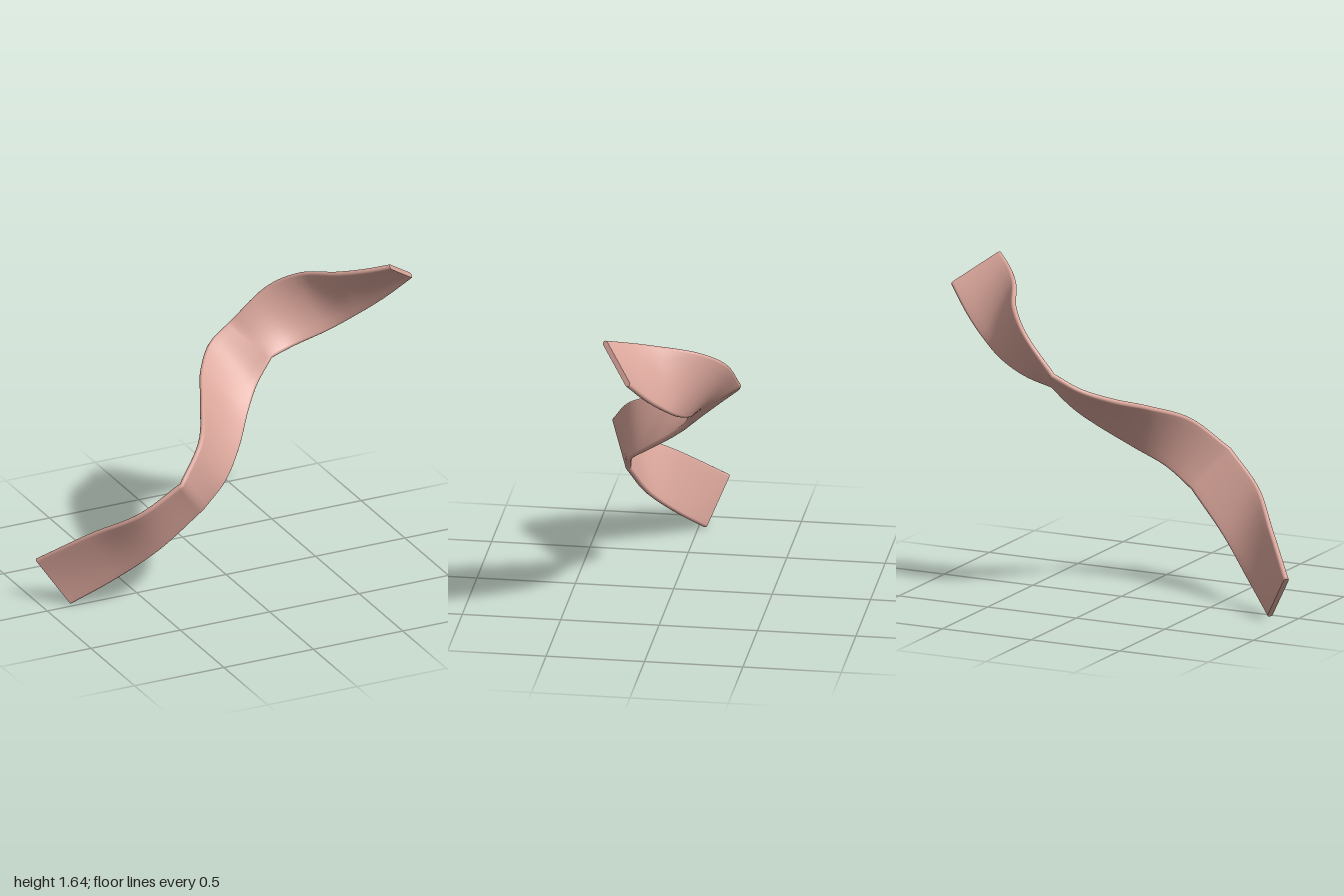
import * as THREE from 'three';

// Matching points on the two rims of the ribbon, one list per wave
const waves = [
  { upper: [[-1, .24, -.13], [-.8, .43, .09], [-.62, .585, .29], [-.43, .742, .365]],
    lower: [[-.85, .005, -.03], [-.67, .15, .09], [-.48, .32, .2], [-.26, .53, .265]] },
  { upper: [[-.43, .742, .365], [-.27, .9, .25], [-.15, 1, .02], [-.05, 1.07, -.19], [.07, 1.14, -.33], [.2, 1.21, -.37]],
    lower: [[-.26, .53, .265], [-.13, .64, .24], [0, .75, .135], [.13, .885, -.01], [.22, .98, -.09], [.32, 1.088, -.13]] },
  { upper: [[.2, 1.21, -.37], [.38, 1.39, -.32], [.5, 1.49, -.2], [.61, 1.56, .02], [.7, 1.603, .14], [.8, 1.645, .235]],
    lower: [[.32, 1.088, -.13], [.46, 1.125, -.14], [.62, 1.187, -.105], [.76, 1.275, -.05], [.88, 1.37, .01], [1, 1.49, .08]] },
];
const HALF = 0.014;  // half the ribbon's thickness
const STEPS = 36;    // sections per wave
const ACROSS = 8;    // strips across the flat faces
const ROUND = 6;     // strips around each rim

// Cross-section: [fraction of width, offset along width, offset along normal]
function sectionProfile() {
  const ring = [];
  for (let k = 0; k < ACROSS; k++) ring.push([k / ACROSS, HALF * (1 - 2 * k / ACROSS), -HALF]);
  for (let k = 0; k < ROUND; k++) {
    const a = -Math.PI / 2 + Math.PI * k / ROUND;
    ring.push([1, HALF * (Math.cos(a) - 1), HALF * Math.sin(a)]);
  }
  for (let k = ACROSS; k > 0; k--) ring.push([k / ACROSS, HALF * (1 - 2 * k / ACROSS), HALF]);
  for (let k = 0; k < ROUND; k++) {
    const a = Math.PI / 2 + Math.PI * k / ROUND;
    ring.push([0, HALF * (Math.cos(a) + 1), HALF * Math.sin(a)]);
  }
  return ring;
}

// Sample one rim, keeping the creases where the waves meet
function sampleRim(side) {
  const out = [];
  waves.forEach((wave, i) => {
    const curve = new THREE.CatmullRomCurve3(wave[side].map(p => new THREE.Vector3(...p)), false, 'centripetal');
    for (let k = i ? 1 : 0; k <= STEPS; k++) out.push(curve.getPoint(k / STEPS));
  });
  return out;
}

function makeGeometry(positions, index) {
  const geometry = new THREE.BufferGeometry();
  geometry.setAttribute('position', new THREE.Float32BufferAttribute(positions, 3));
  geometry.setIndex(index);
  geometry.computeVertexNormals();
  return geometry;
}

export function createModel() {
  const group = new THREE.Group();
  group.name = 'wavyRibbon';
  const pink = new THREE.MeshStandardMaterial({ color: 0xd9a59a });
  pink.name = 'dusty pink';

  const upper = sampleRim('upper');
  const lower = sampleRim('lower');
  const profile = sectionProfile();
  const last = upper.length - 1;

  // Place the cross-section at every step along the ribbon
  const middle = upper.map((p, i) => p.clone().lerp(lower[i], 0.5));
  const sections = upper.map((a, i) => {
    const b = lower[i];
    const across = b.clone().sub(a).normalize();
    const along = middle[Math.min(i + 1, last)].clone().sub(middle[Math.max(i - 1, 0)]);
    const normal = along.cross(across).normalize();
    return profile.map(([f, w, h]) =>
      a.clone().lerp(b, f).addScaledVector(across, w).addScaledVector(normal, h));
  });

  // Band: faces and rounded rims
  const n = profile.length;
  const index = [];
  for (let i = 0; i < last; i++) {
    for (let j = 0; j < n; j++) {
      const a = i * n + j, b = i * n + (j + 1) % n;
      index.push(a, b, a + n, b, b + n, a + n);
    }
  }
  const band = new THREE.Mesh(makeGeometry(sections.flat().flatMap(p => p.toArray()), index), pink);
  band.name = 'ribbonBand';
  group.add(band);

  // Flat ends
  const addEnd = (section, name, flip) => {
    const fan = [];
    for (let j = 1; j < n - 1; j++) fan.push(0, flip ? j + 1 : j, flip ? j : j + 1);
    const end = new THREE.Mesh(makeGeometry(section.flatMap(p => p.toArray()), fan), pink);
    end.name = name;
    group.add(end);
  };
  addEnd(sections[0], 'lowerEnd', true);
  addEnd(sections[last], 'upperEnd', false);

  return group;
}
